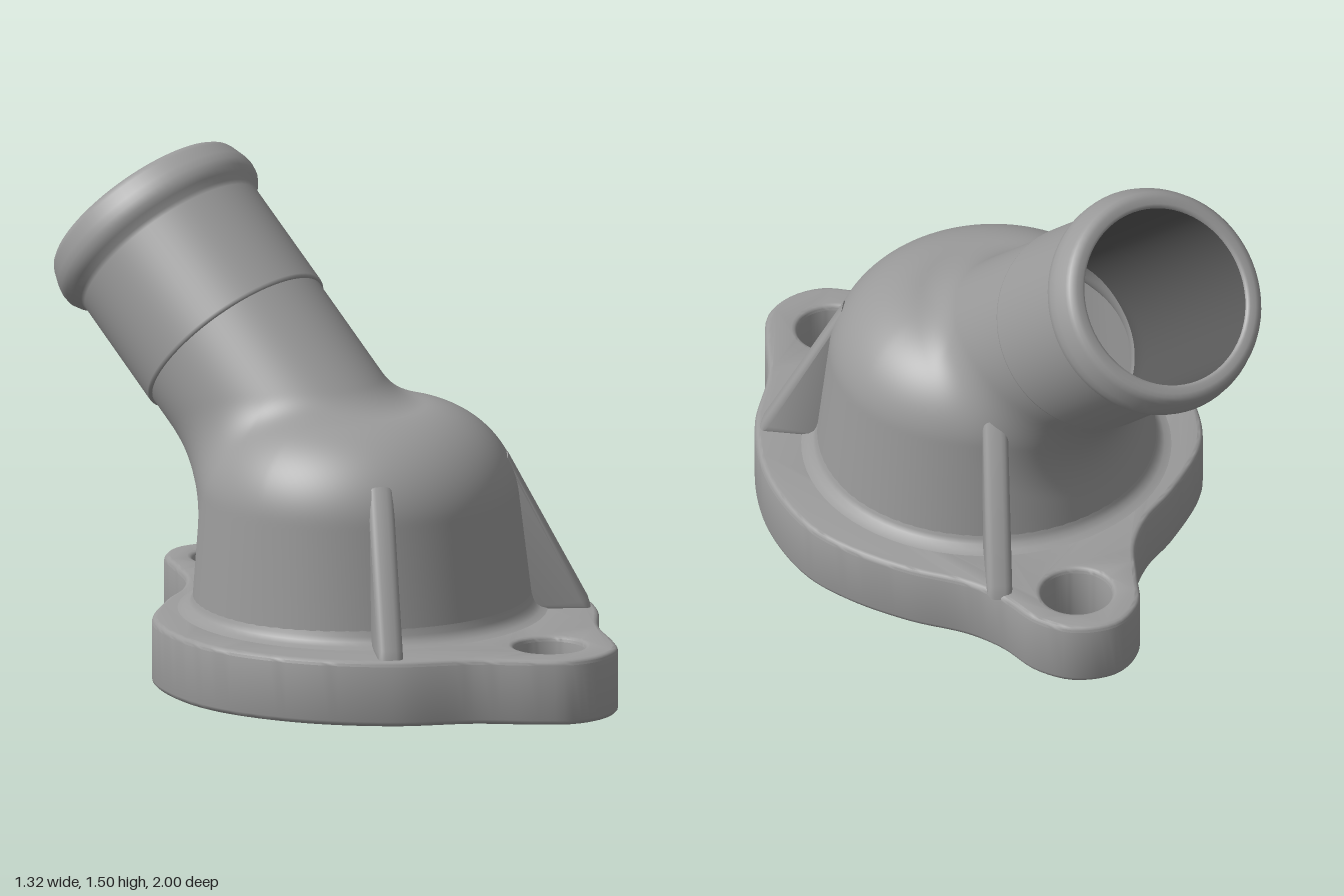
import * as THREE from 'three';
import { toCreasedNormals } from 'three/addons/utils/BufferGeometryUtils.js';

const CZ = 0.07;                                   // z of the dome's upright axis
const AXIS = new THREE.Vector3(0.024, 0.677, -0.736).normalize();
const CORE = new THREE.Vector3(0.018, 1.27, -0.795).addScaledVector(AXIS, -1.06);
const SEAM = 0.55;                                 // where the neck meets the spout
const NECK = 0.298, BORE = 0.265;
const ROWS = 110, COLS = 144;                      // shell resolution

// Distance to the tapered, round-shouldered dome
function domeDistance(p) {
  const z = p.z - CZ, rad = Math.hypot(p.x, z), h = p.y - 0.2, k = 0.25;
  const R = 0.503 - 0.075 * h - 0.06 * h * Math.max(0, z / (rad + 1e-6));
  const a = rad - (R - k), b = p.y - (0.805 - k);
  return Math.hypot(Math.max(a, 0), Math.max(b, 0)) + Math.min(Math.max(a, b), 0) - k;
}

// Distance to the slanted neck
function neckDistance(p) {
  const v = p.clone().sub(CORE), t = Math.max(0, v.dot(AXIS));
  return v.addScaledVector(AXIS, -t).length() - NECK;
}

// Dome and neck blended with a fillet, found along rays from a point inside both
function shellGeometry(domeInset, neckInset, floorY, inward) {
  const U = new THREE.Vector3(1, 0, 0).addScaledVector(AXIS, -AXIS.x).normalize();
  const V = new THREE.Vector3().crossVectors(AXIS, U);
  const start = Math.atan((NECK - neckInset) / SEAM);
  const field = (p) => {
    // the fillet is wider under the neck than above it
    const a = domeDistance(p) + domeInset, b = neckDistance(p) + neckInset;
    const k = 0.06 + 0.28 * Math.max(0, -p.z - 0.1);
    const h = Math.max(k - Math.abs(a - b), 0) / k;
    return Math.max(Math.min(a, b) - h * h * k / 4, floorY - p.y);
  };
  const pos = [], index = [], p = new THREE.Vector3(), d = new THREE.Vector3();
  for (let i = 0; i <= ROWS; i++) {
    const th = start + (Math.PI - start) * i / ROWS;
    for (let j = 0; j < COLS; j++) {
      const ph = 2 * Math.PI * j / COLS;
      d.copy(AXIS).multiplyScalar(Math.cos(th))
        .addScaledVector(U, Math.sin(th) * Math.cos(ph))
        .addScaledVector(V, Math.sin(th) * Math.sin(ph));
      let lo = 0, hi = 1.5;
      for (let n = 0; n < 22; n++) {
        const mid = (lo + hi) / 2;
        if (field(p.copy(CORE).addScaledVector(d, mid)) < 0) lo = mid; else hi = mid;
      }
      p.copy(CORE).addScaledVector(d, lo);
      pos.push(p.x, p.y, p.z);
    }
  }
  // leave the underside open
  const face = (a, b, c) => {
    if ([a, b, c].some((n) => pos[n * 3 + 1] < floorY + 0.002)) return;
    if (inward) index.push(a, c, b); else index.push(a, b, c);
  };
  for (let i = 0; i < ROWS; i++) {
    for (let j = 0; j < COLS; j++) {
      const a = i * COLS + j, c = i * COLS + (j + 1) % COLS;
      face(a, a + COLS, c);
      face(c, a + COLS, c + COLS);
    }
  }
  const g = new THREE.BufferGeometry();
  g.setAttribute('position', new THREE.Float32BufferAttribute(pos, 3));
  g.setIndex(index);
  g.computeVertexNormals();
  return g;
}

// Two-eared flange plate with a bore and two bolt holes
function flangeGeometry() {
  const outline = [
    [0, 0.995], [0.1, 0.968], [0.175, 0.89], [0.285, 0.742], [0.46, 0.585], [0.6, 0.36], [0.66, 0.1],
    [0.635, -0.07], [0.56, -0.26], [0.465, -0.42], [0.43, -0.54], [0.42, -0.68], [0.36, -0.79],
    [0.24, -0.845], [0.13, -0.805], [0.05, -0.7], [-0.04, -0.58], [-0.15, -0.5], [-0.29, -0.445],
    [-0.51, -0.31], [-0.63, -0.1], [-0.66, 0.1], [-0.6, 0.36], [-0.46, 0.585], [-0.285, 0.742],
    [-0.175, 0.89], [-0.1, 0.968],
  ].map(([x, z]) => new THREE.Vector3(x, -z, 0));
  const curve = new THREE.CatmullRomCurve3(outline, true);
  const pts = curve.getSpacedPoints(180).slice(0, -1).map((v) => new THREE.Vector2(v.x, v.y));
  const shape = new THREE.Shape(pts);
  for (const [x, z, r] of [[0, CZ, 0.45], [0, 0.79, 0.105], [0.24, -0.65, 0.105]]) {
    shape.holes.push(new THREE.Path().absarc(x, -z, r, 0, Math.PI * 2, true));
  }
  const b = 0.016;
  const g = new THREE.ExtrudeGeometry(shape, {
    depth: 0.198 - 2 * b, curveSegments: 32, bevelEnabled: true,
    bevelThickness: b, bevelSize: b, bevelOffset: -b, bevelSegments: 3,
  });
  g.rotateX(-Math.PI / 2).translate(0, b, 0);
  return toCreasedNormals(g, 0.7);
}

// Sloping gusset standing on the flange, running radially outward
function ribGeometry(topR, topY, baseR) {
  const s = new THREE.Shape();
  s.moveTo(0.475, 0.185);
  s.lineTo(baseR, 0.185);
  s.lineTo(baseR - 0.012, 0.225);
  s.lineTo(topR, topY);
  s.lineTo(topR - 0.02, topY - 0.03);
  const b = 0.022, w = 0.075;
  const g = new THREE.ExtrudeGeometry(s, {
    depth: w - 2 * b, bevelEnabled: true, bevelThickness: b, bevelSize: b,
    bevelOffset: -b, bevelSegments: 3,
  });
  g.translate(0, 0, b - w / 2);
  return toCreasedNormals(g, 0.7);
}

export function createModel() {
  const group = new THREE.Group();
  const material = (name, color) => {
    const m = new THREE.MeshStandardMaterial({ color });
    m.name = name;
    return m;
  };
  const metal = material('castGrey', 0x9b9b9b);
  const dark = material('darkBore', 0x5a5a5a);
  const add = (name, geometry, mat = metal) => {
    const m = new THREE.Mesh(geometry, mat);
    m.name = name;
    group.add(m);
    return m;
  };
  const lathe = (points) => new THREE.LatheGeometry(
    points.map(([r, y]) => new THREE.Vector2(r, y)), 72);

  add('flange', flangeGeometry());
  add('domeAndNeck', shellGeometry(0, 0, 0.1, false));

  // Cavity, with the bore's dark lining on its first rows below the seam
  const cavity = shellGeometry(0.05, NECK - BORE, 0.15, true);
  const lining = 12 * COLS * 6;
  cavity.addGroup(0, lining, 0);
  cavity.addGroup(lining, cavity.index.count - lining, 1);
  add('innerCavity', cavity, [dark, metal]);

  // Cast fillet around the foot of the dome
  const fillet = add('domeFillet', lathe(
    [[0.545, 0.199], [0.525, 0.205], [0.51, 0.216], [0.503, 0.23], [0.497, 0.25]]));
  fillet.position.z = CZ;

  // Hose spout: step, barrel, bead and rim, then the bore
  const spout = add('spout', lathe([
    [0.285, 0.548], [0.302, 0.549], [0.306, 0.553], [0.307, 0.56], [0.306, 0.9], [0.309, 0.915],
    [0.325, 0.933], [0.336, 0.952], [0.339, 0.975], [0.335, 1.0], [0.322, 1.04], [0.315, 1.053],
    [0.305, 1.061], [0.293, 1.063], [0.276, 1.062], [0.268, 1.058], [BORE, 1.05],
  ]));
  const bore = add('spoutBore', lathe([[BORE, 1.05], [BORE, 0.545]]), dark);
  for (const part of [spout, bore]) {
    part.position.copy(CORE);
    part.quaternion.setFromUnitVectors(new THREE.Vector3(0, 1, 0), AXIS);
  }

  // Gussets: two at the front, one behind
  const ribs = [
    ['frontLeftRib', 0.46, 0.5, 0.427, 0.665, 0.675],
    ['frontRightRib', -0.46, 0.5, 0.427, 0.665, 0.675],
    ['rearLeftRib', 0.44, -0.61, 0.485, 0.65, 0.74],
  ];
  for (const [name, dx, dz, topR, topY, baseR] of ribs) {
    const rib = add(name, ribGeometry(topR, topY, baseR));
    rib.position.z = CZ;
    rib.rotation.y = Math.atan2(-dz, dx);
  }
  return group;
}
